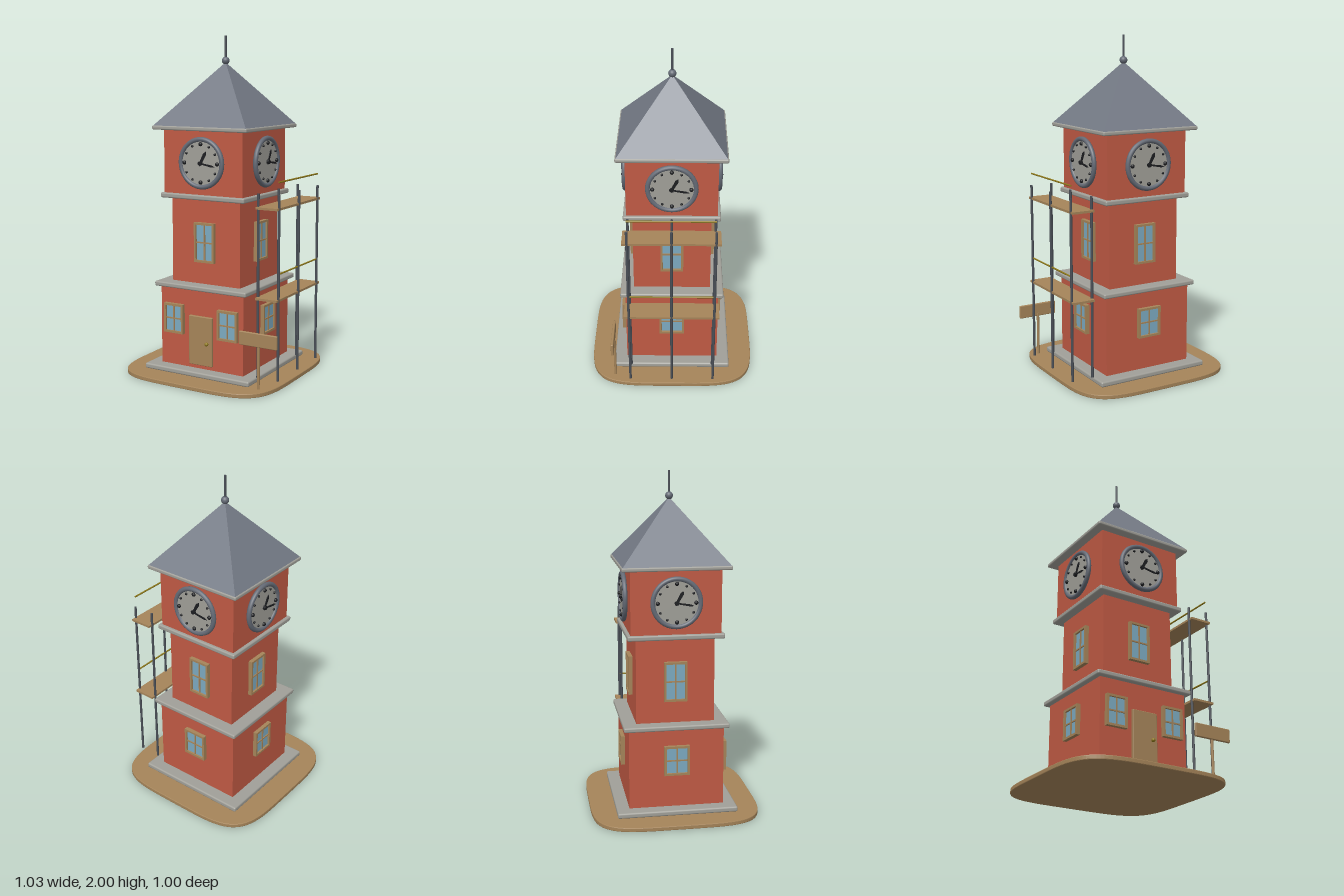
import * as THREE from 'three';
import { RoundedBoxGeometry } from 'three/addons/geometries/RoundedBoxGeometry.js';

const paint = (name, color) => {
  const m = new THREE.MeshStandardMaterial({ color });
  m.name = name;
  return m;
};
const MAT = {
  brick: paint('brick', 0xc05a44),
  stone: paint('stone', 0xa09f98),
  slate: paint('slate', 0x737984),
  wood: paint('wood', 0xa58459),
  glass: paint('glass', 0x7caac0),
  iron: paint('iron', 0x4a4f57),
  rim: paint('clock rim', 0x646a75),
  black: paint('clock black', 0x1c1d20),
  brass: paint('brass', 0x8f7a1c),
};

function add(parent, name, geometry, material, x = 0, y = 0, z = 0) {
  const mesh = new THREE.Mesh(geometry, material);
  mesh.name = name;
  mesh.position.set(x, y, z);
  parent.add(mesh);
  return mesh;
}
const box = (w, h, d) => new THREE.BoxGeometry(w, h, d);
const slab = (w, h, d, r) => new RoundedBoxGeometry(w, h, d, 2, r);
const rod = (r, h, sides = 12) => new THREE.CylinderGeometry(r, r, h, sides);

function group(parent, name, x = 0, y = 0, z = 0) {
  const g = new THREE.Group();
  g.name = name;
  g.position.set(x, y, z);
  parent.add(g);
  return g;
}

// Square block centred on the tower axis, between two heights
function tier(parent, name, half, y0, y1, material, round = 0) {
  const h = y1 - y0;
  const geo = round ? slab(half * 2, h, half * 2, round) : box(half * 2, h, half * 2);
  return add(parent, name, geo, material, 0, (y0 + y1) / 2, 0);
}

// Four-pane window; its back sits on z = 0
function windowUnit(parent, x, y, z, w, h) {
  const g = group(parent, 'window', x, y, z);
  const t = 0.013, d = 0.024;
  add(g, 'windowGlass', box(w - t, h - t, 0.009), MAT.glass, 0, 0, 0.0075);
  for (const s of [-1, 1]) {
    add(g, 'windowJamb', box(t, h, d), MAT.wood, s * (w - t) / 2, 0, d / 2);
    add(g, 'windowRail', box(w - 2 * t, t, d), MAT.wood, 0, s * (h - t) / 2, d / 2);
  }
  add(g, 'windowMullion', box(0.008, h - 2 * t, 0.018), MAT.wood, 0, 0, 0.009);
  add(g, 'windowCrossbar', box(w - 2 * t, 0.008, 0.018), MAT.wood, 0, 0, 0.009);
}

// Clock hand pointing from the hub at the given angle
function hand(parent, name, length, width, angle, z) {
  const s = new THREE.Shape();
  s.moveTo(-0.015, -width * 0.3);
  s.lineTo(length * 0.78, -width * 0.5);
  s.lineTo(length, 0);
  s.lineTo(length * 0.78, width * 0.5);
  s.lineTo(-0.015, width * 0.3);
  const geo = new THREE.ExtrudeGeometry(s, { depth: 0.004, bevelEnabled: false });
  add(parent, name, geo, MAT.black, 0, 0, z).rotation.z = angle;
}

function clock(parent, y, z) {
  const g = group(parent, 'clock', 0, y, z);
  add(g, 'clockRim', new THREE.TorusGeometry(0.137, 0.014, 12, 48), MAT.rim, 0, 0, 0.014);
  add(g, 'clockFace', rod(0.136, 0.018, 48), MAT.stone, 0, 0, 0.009).rotation.x = Math.PI / 2;
  for (let i = 0; i < 12; i++) {
    const a = i * Math.PI / 6;
    const r = i % 3 ? 0.0075 : 0.012;
    const dot = add(g, 'hourMark', new THREE.SphereGeometry(r, 12, 8), MAT.black,
      Math.cos(a) * 0.11, Math.sin(a) * 0.11, 0.021);
    dot.scale.z = 0.9;
  }
  hand(g, 'hourHand', 0.078, 0.02, 1.08, 0.022);
  hand(g, 'minuteHand', 0.1, 0.012, -0.17, 0.027);
  add(g, 'clockHub', rod(0.012, 0.016, 16), MAT.black, 0, 0, 0.026).rotation.x = Math.PI / 2;
}

// Ground pad with a superellipse outline
function ground(parent) {
  const pts = [];
  const bevel = 0.004, half = 0.5 - bevel, p = 2 / 4.5;
  for (let i = 0; i < 96; i++) {
    const a = i / 96 * Math.PI * 2, c = Math.cos(a), s = Math.sin(a);
    pts.push(new THREE.Vector2(
      half * Math.sign(c) * Math.abs(c) ** p, half * Math.sign(s) * Math.abs(s) ** p));
  }
  const geo = new THREE.ExtrudeGeometry(new THREE.Shape(pts), {
    depth: 0.017, bevelEnabled: true, bevelThickness: bevel, bevelSize: bevel, bevelSegments: 2,
  });
  geo.rotateX(-Math.PI / 2);
  add(parent, 'ground', geo, MAT.wood, 0, bevel, 0);
}

function scaffold(parent) {
  const g = group(parent, 'scaffold');
  for (const x of [0.338, 0.468]) {
    for (const z of [-0.25, 0, 0.25]) add(g, 'scaffoldPole', rod(0.0075, 1.065), MAT.iron, x, 0.5875, z);
  }
  for (const y of [0.523, 1.04]) {
    add(g, 'scaffoldPlatform', box(0.136, 0.013, 0.56), MAT.wood, 0.404, y, 0);
    add(g, 'scaffoldRail', rod(0.005, 0.5, 8), MAT.brass, 0.466, y + 0.15, 0).rotation.x = Math.PI / 2;
  }
}

function signpost(parent) {
  const g = group(parent, 'signpost', 0.395, 0, 0.35);
  add(g, 'signPost', rod(0.008, 0.27), MAT.wood, 0, 0.155, -0.004);
  add(g, 'signBoard', slab(0.24, 0.08, 0.016, 0.005), MAT.wood, 0, 0.31, 0.002);
}

export function createModel() {
  const model = new THREE.Group();
  model.name = 'clockTower';
  const tower = group(model, 'tower', -0.02, 0, 0);
  ground(tower);

  // Stacked storeys and ledges
  tier(tower, 'plinth', 0.355, 0.024, 0.056, MAT.stone, 0.01);
  tier(tower, 'lowerStorey', 0.28, 0.05, 0.535, MAT.brick);
  tier(tower, 'lowerLedge', 0.31, 0.528, 0.557, MAT.stone, 0.009);
  tier(tower, 'middleStorey', 0.23, 0.55, 1.065, MAT.brick);
  tier(tower, 'middleLedge', 0.282, 1.058, 1.088, MAT.stone, 0.009);
  tier(tower, 'clockStorey', 0.263, 1.08, 1.465, MAT.brick);
  tier(tower, 'eaves', 0.315, 1.458, 1.482, MAT.stone, 0.008);

  // Pyramid roof, ball and spire
  const roof = new THREE.ConeGeometry(0.309 * Math.SQRT2, 0.365, 4).rotateY(Math.PI / 4).toNonIndexed();
  roof.computeVertexNormals();
  add(tower, 'roof', roof, MAT.slate, 0, 1.6635, 0);
  add(tower, 'finialBall', new THREE.SphereGeometry(0.023, 20, 14), MAT.rim, 0, 1.855, 0);
  add(tower, 'spire', rod(0.007, 0.15), MAT.iron, 0, 1.925, 0);

  // Clock and windows on each side
  for (let i = 0; i < 4; i++) {
    const side = group(tower, ['front', 'left', 'back', 'right'][i] + 'Side');
    side.rotation.y = i * Math.PI / 2;
    clock(side, 1.273, 0.263);
    windowUnit(side, 0, 0.805, 0.23, 0.135, 0.235);
    if (i > 0) {
      windowUnit(side, 0, 0.342, 0.28, 0.15, 0.178);
    } else {
      for (const s of [-1, 1]) windowUnit(side, s * 0.183, 0.342, 0.28, 0.132, 0.178);
      add(side, 'door', slab(0.158, 0.295, 0.03, 0.004), MAT.wood, 0, 0.2275, 0.281);
      add(side, 'doorKnob', new THREE.SphereGeometry(0.011, 14, 10), MAT.brass, 0.047, 0.217, 0.303);
    }
  }

  scaffold(model);
  signpost(model);
  return model;
}
